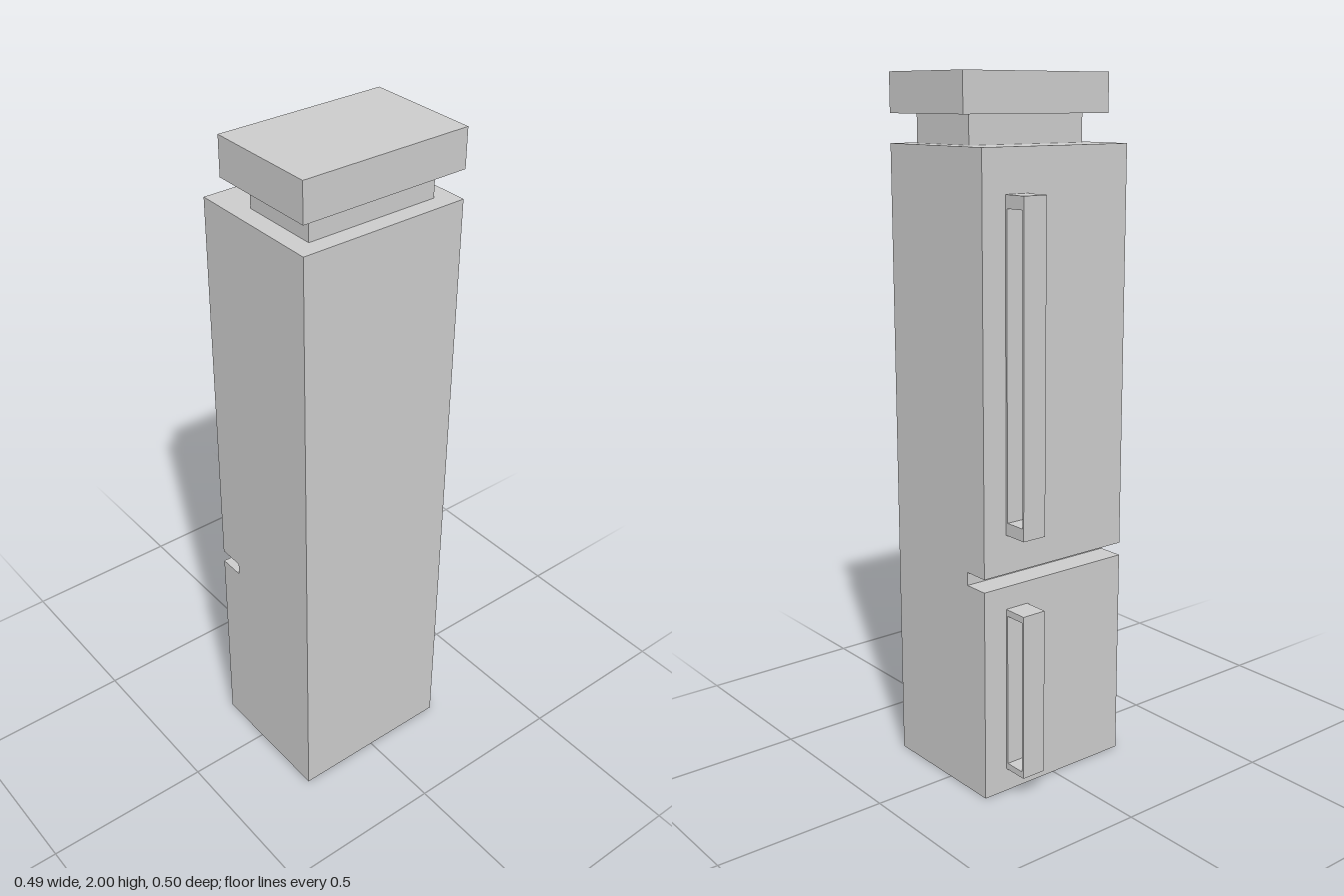
import * as THREE from 'three';

const material = new THREE.MeshStandardMaterial({ color: 0xcccccc, flatShading: true });

function addMesh(group, name, geometry) {
  const mesh = new THREE.Mesh(geometry, material);
  mesh.name = name;
  group.add(mesh);
}

// Box given by its minimum and maximum corners
function box([x0, y0, z0], [x1, y1, z1]) {
  return new THREE.BoxGeometry(x1 - x0, y1 - y0, z1 - z0)
    .translate((x0 + x1) / 2, (y0 + y1) / 2, (z0 + z1) / 2);
}

const points = (list) => list.map(([x, y]) => new THREE.Vector2(x, y));
const rect = (x0, y0, x1, y1) => points([[x0, y0], [x1, y0], [x1, y1], [x0, y1]]);

// Front outline extruded between two z values
function extrude(shape, z0, z1) {
  return new THREE.ExtrudeGeometry(shape, { depth: z1 - z0, bevelEnabled: false })
    .translate(0, 0, z0);
}

// Slim rectangular handle frame on the -x side
function handle(y0, y1, end) {
  const shape = new THREE.Shape(rect(-0.243, y0, -0.167, y1));
  shape.holes.push(new THREE.Path(rect(-0.237, y0 + end, -0.173, y1 - end)));
  return extrude(shape, -0.175, -0.1);
}

export function createModel() {
  const group = new THREE.Group();
  group.name = 'cabinet';

  // Tall body with a horizontal groove between the two doors
  const left = -0.167, right = 0.243, groove = -0.09;
  const outline = new THREE.Shape(points([
    [left, 0], [right, 0], [right, 1.81], [left, 1.81],
    [left, 0.658], [groove, 0.658], [groove, 0.62], [left, 0.62],
  ]));
  addMesh(group, 'body', extrude(outline, -0.251, 0.251));

  // Inset neck and overhanging cap
  addMesh(group, 'neck', box([-0.042, 1.81, -0.197], [0.193, 1.89, 0.197]));
  addMesh(group, 'cap', box([-0.09, 1.89, -0.251], [right, 2, 0.251]));

  // Door handles
  addMesh(group, 'upperHandle', handle(0.77, 1.69, 0.036));
  addMesh(group, 'lowerHandle', handle(0.068, 0.554, 0.019));
  return group;
}
